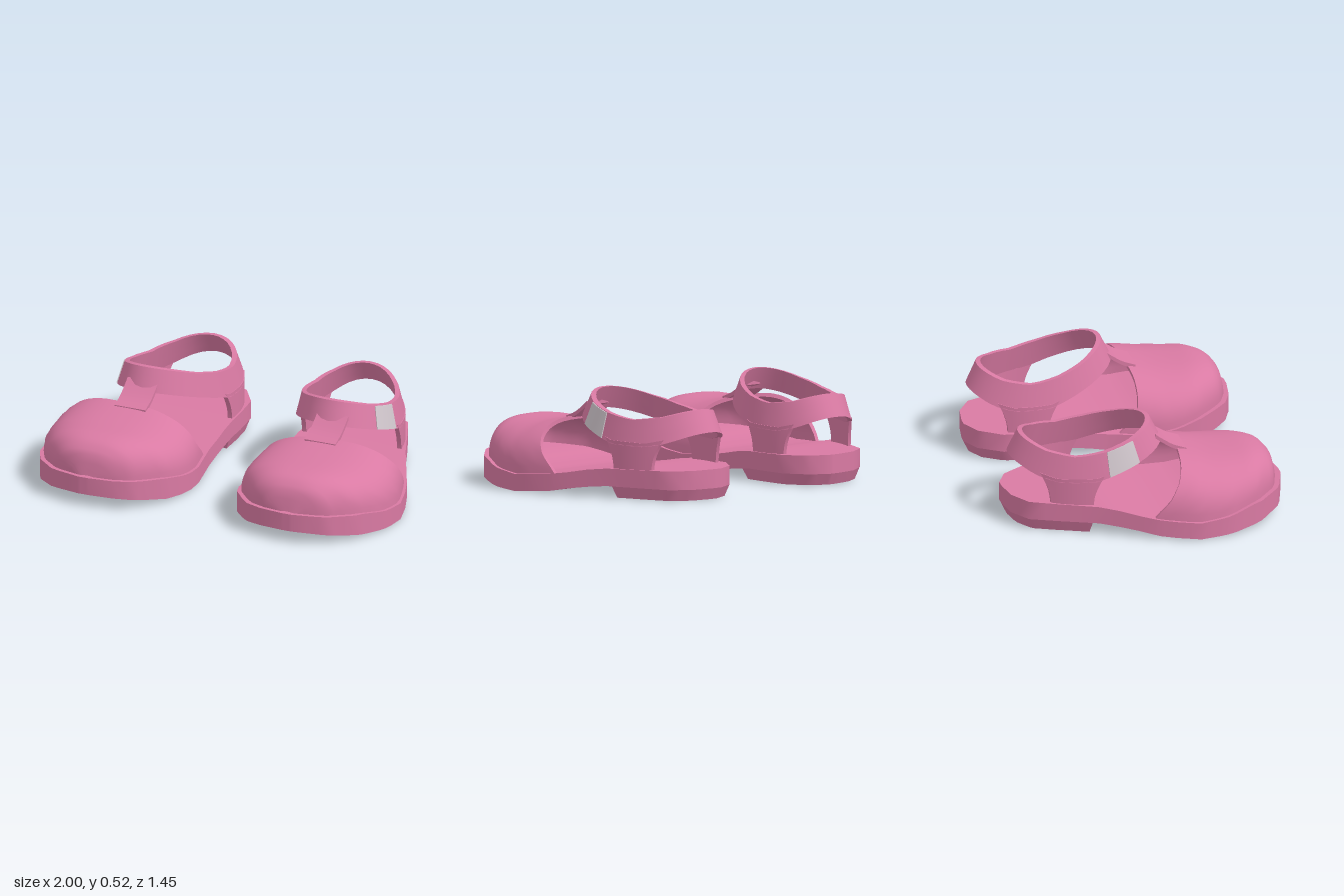
import * as THREE from 'three';
import { toCreasedNormals } from 'three/addons/utils/BufferGeometryUtils.js';

const lerp = THREE.MathUtils.lerp;

// piecewise-linear curve through [position, value] pairs
const curve = (pts) => (p) => {
  if (p <= pts[0][0]) return pts[0][1];
  for (let i = 1; i < pts.length; i++) {
    const [a, va] = pts[i - 1], [b, vb] = pts[i];
    if (p <= b) return lerp(va, vb, (p - a) / (b - a));
  }
  return pts[pts.length - 1][1];
};

// closed solid from a mapping f(u, v, s) of the unit cube; s runs through the thickness
function solid(f, nu, nv, { closed = false, side = 1, crease = 0.7 } = {}) {
  const tris = [];
  const patch = (fn, na, nb, flip) => {
    for (let i = 0; i < na; i++) for (let j = 0; j < nb; j++) {
      const p = (a, b) => {
        const [x, y, z] = fn(a / na, b / nb);
        return [x * side, y, z];
      };
      const a = p(i, j), b = p(i + 1, j), c = p(i + 1, j + 1), d = p(i, j + 1);
      if (flip) tris.push([a, c, b], [a, d, c]);
      else tris.push([a, b, c], [a, c, d]);
    }
  };
  for (const e of [0, 1]) {
    patch((u, v) => f(u, v, e), nu, nv, e === 0);
    patch((s, u) => f(u, e, s), 1, nu, e === 0);
    if (!closed) patch((v, s) => f(e, v, s), nv, 1, e === 0);
  }
  // turn the faces outward
  let volume = 0;
  const A = new THREE.Vector3(), B = new THREE.Vector3(), C = new THREE.Vector3();
  for (const [a, b, c] of tris) volume += A.set(...a).dot(B.set(...b).cross(C.set(...c)));
  if (volume < 0) tris.forEach((t) => t.reverse());
  const g = new THREE.BufferGeometry();
  g.setAttribute('position', new THREE.Float32BufferAttribute(tris.flat(2), 3));
  return toCreasedNormals(g, crease);
}

// sole outline: inner and outer edge along z
const inner = curve([[-0.73, 0.38], [-0.68, 0.28], [-0.56, 0.2], [-0.4, 0.188], [0, 0.185], [0.1, 0.17],
  [0.2, 0.155], [0.3, 0.15], [0.4, 0.165], [0.5, 0.2], [0.6, 0.275], [0.66, 0.33], [0.7, 0.42], [0.72, 0.55]]);
const outer = curve([[-0.73, 0.43], [-0.71, 0.55], [-0.64, 0.66], [-0.5, 0.72], [-0.3, 0.8], [-0.03, 0.93],
  [0.08, 0.97], [0.2, 0.998], [0.3, 0.992], [0.38, 0.98], [0.55, 0.9], [0.67, 0.78], [0.72, 0.61]]);
// sole profile
const soleTop = curve([[-0.73, 0.16], [-0.3, 0.152], [-0.2, 0.14], [-0.1, 0.12], [0, 0.105], [0.2, 0.09],
  [0.35, 0.105], [0.5, 0.135], [0.72, 0.16]]);
const soleBottom = curve([[-0.3, 0.06], [-0.2, 0.05], [-0.1, 0.035], [0, 0.015], [0.2, 0], [0.35, 0.007],
  [0.5, 0.02], [0.62, 0.043], [0.72, 0.065]]);
const soleStations = [-0.73, -0.71, -0.68, -0.64, -0.56, -0.5, -0.4, -0.3, -0.2, -0.1, -0.03, 0, 0.08, 0.14,
  0.2, 0.25, 0.3, 0.35, 0.4, 0.45, 0.5, 0.55, 0.6, 0.63, 0.66, 0.68, 0.7, 0.72];

// toe cap: ridge height along z, and rear edge by angle in degrees from the outer side
const capHeight = curve([[0.1, 0.365], [0.15, 0.368], [0.2, 0.358], [0.3, 0.34], [0.4, 0.335], [0.52, 0.338],
  [0.57, 0.332], [0.61, 0.32], [0.64, 0.3], [0.67, 0.265], [0.69, 0.16]]);
const capRear = curve([[0, -0.03], [10, 0.02], [20, 0.06], [40, 0.11], [60, 0.14], [90, 0.165], [120, 0.175],
  [140, 0.17], [160, 0.155], [170, 0.12], [180, 0.05]]);

// collar: upper and lower edge along z
const collarTop = curve([[-0.65, 0.465], [-0.55, 0.43], [-0.4, 0.41], [-0.25, 0.435], [-0.1, 0.475], [0.035, 0.525]]);
const collarBottom = curve([[-0.7, 0.35], [-0.6, 0.3], [-0.5, 0.275], [-0.3, 0.28], [-0.1, 0.345], [0.09, 0.41]]);
const strapPath = curve([[0.03, 0.445], [0.08, 0.405], [0.14, 0.365], [0.22, 0.335]]);
const skew = (z) => 0.12 * (z + 0.305);

const soleShape = (u, v, s) => {
  const z = soleStations[Math.round(u * (soleStations.length - 1))];
  return [lerp(inner(z), outer(z), v), s ? soleTop(z) : soleBottom(z), z];
};

const heelShape = (u, v, s) => {
  const z = lerp(-0.25 - 0.08 * v, -0.73, 1 - (1 - u) ** 1.6);
  const x = lerp(inner(z), outer(z), v);
  return s ? [x, soleBottom(z) + 0.001, z] : [0.46 + (x - 0.46) * 0.92, 0, -0.45 + (z + 0.45) * 0.9];
};

const capShape = (u, v, s) => {
  const z = lerp(capRear(v * 180), 0.69 - 0.02 * s, 1 - (1 - u) ** 1.7);
  const zo = Math.min(z * 1.035, 0.718);
  const a = inner(zo) + 0.015, b = outer(zo) - 0.015;
  const base = soleTop(z) - 0.012;
  const c = Math.cos(v * Math.PI), n = Math.max(0, Math.sin(v * Math.PI));
  return [
    (a + b) / 2 + ((b - a) / 2 - 0.02 * s) * Math.sign(c) * Math.abs(c) ** 0.77,
    base + Math.max(0.005, capHeight(z) - base - 0.02 * s) * n ** 0.77,
    z,
  ];
};

// leaning oval band; thickness t is measured inward
const band = (angle, v, t) => {
  const c = Math.cos(angle);
  const z = -0.305 + (lerp(0.395, 0.34, v) - t) * c;
  const x = 0.485 + (lerp(0.285, 0.255, v) - t) * Math.sin(angle) + skew(z);
  return [x, lerp(collarBottom(-0.305 + 0.395 * c), collarTop(-0.305 + 0.34 * c), v), z];
};

// side support between the collar and the sole, flaring towards the collar
const supportShape = (dir) => (u, v, s) => {
  const flare = v ** 2.5;
  const z = lerp(lerp(-0.32, -0.26, flare), lerp(-0.53, -0.58, flare), u);
  const k = Math.sqrt(1 - ((z + 0.305) / 0.395) ** 2);
  return [0.485 + dir * (0.284 - 0.025 * s) * k + skew(z), lerp(0.13, collarBottom(z) + 0.02, v), z];
};

const strapShape = (u, v, s) => {
  const z = lerp(0.045, 0.21, u);
  return [lerp(0.455, 0.63, v), strapPath(z) + 0.022 * s, z];
};

export function createModel() {
  const pink = new THREE.MeshStandardMaterial({ color: 0xd97aa3 });
  pink.name = 'pink';
  const silver = new THREE.MeshStandardMaterial({ color: 0xd0c6cc });
  silver.name = 'silver';

  const model = new THREE.Group();
  model.name = 'sandals';

  for (const side of [1, -1]) {
    const shoe = new THREE.Group();
    shoe.name = side > 0 ? 'leftSandal' : 'rightSandal';
    const add = (name, f, nu, nv, options = {}, material = pink) => {
      const mesh = new THREE.Mesh(solid(f, nu, nv, { side, ...options }), material);
      mesh.name = name;
      shoe.add(mesh);
    };
    add('sole', soleShape, soleStations.length - 1, 4);
    add('heel', heelShape, 16, 6);
    add('toeCap', capShape, 18, 28, { crease: 0.9 });
    add('instepStrap', strapShape, 6, 2);
    add('collar', (u, v, s) => band(u * Math.PI * 2, v, 0.025 * s), 40, 3, { closed: true });
    add('outerSupport', supportShape(1), 8, 6);
    add('innerSupport', supportShape(-1), 8, 6);
    // plain plate on the outer side of the collar
    add('clasp', (u, v, s) => band(lerp(0.93, 1.39, u), lerp(0.02, 0.98, v), 0.007 * s - 0.005), 6, 3, {}, silver);
    model.add(shoe);
  }
  return model;
}
